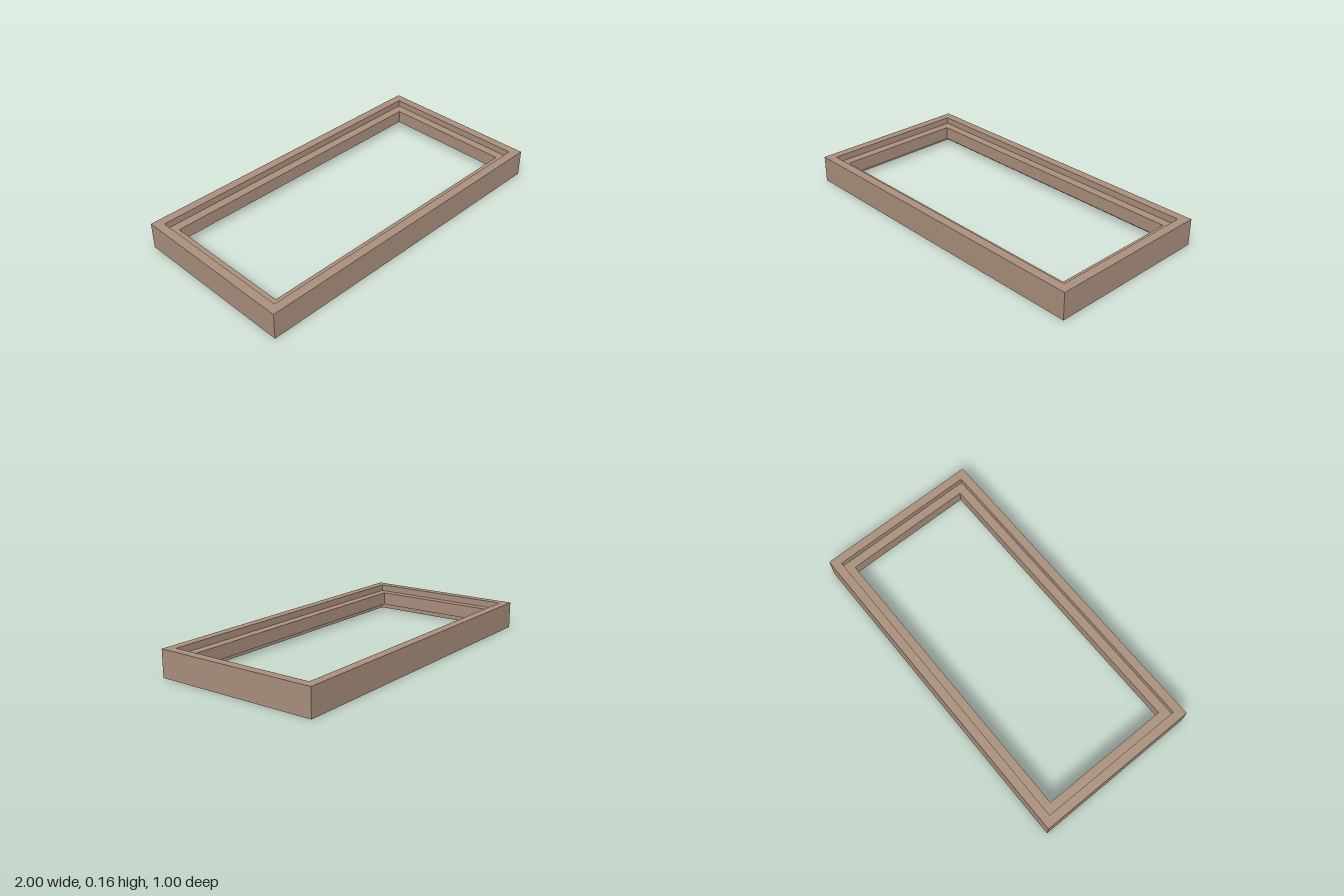
import * as THREE from 'three';

const wood = new THREE.MeshStandardMaterial({ color: 0xab917e });
wood.name = 'brown wood';

// Rectangular ring lying flat: outer and inner half sizes, from y0 up to y1
function ring(name, [ox, oz], [ix, iz], y0, y1) {
  const shape = new THREE.Shape();
  shape.moveTo(-ox, -oz).lineTo(ox, -oz).lineTo(ox, oz).lineTo(-ox, oz).closePath();
  const hole = new THREE.Path();
  hole.moveTo(-ix, -iz).lineTo(-ix, iz).lineTo(ix, iz).lineTo(ix, -iz).closePath();
  shape.holes.push(hole);
  const geometry = new THREE.ExtrudeGeometry(shape, { depth: y1 - y0, bevelEnabled: false });
  geometry.rotateX(-Math.PI / 2).translate(0, y0, 0);
  const mesh = new THREE.Mesh(geometry, wood);
  mesh.name = name;
  return mesh;
}

export function createModel() {
  const group = new THREE.Group();
  group.name = 'frame';
  const outer = [1, 0.5], middle = [0.948, 0.448], inner = [0.895, 0.395];

  // Full-height outer wall
  group.add(ring('outerFrame', outer, middle, 0, 0.16));
  // Inner ledge, set back from both top and bottom rims
  group.add(ring('innerLedge', middle, inner, 0.04, 0.12));
  return group;
}
